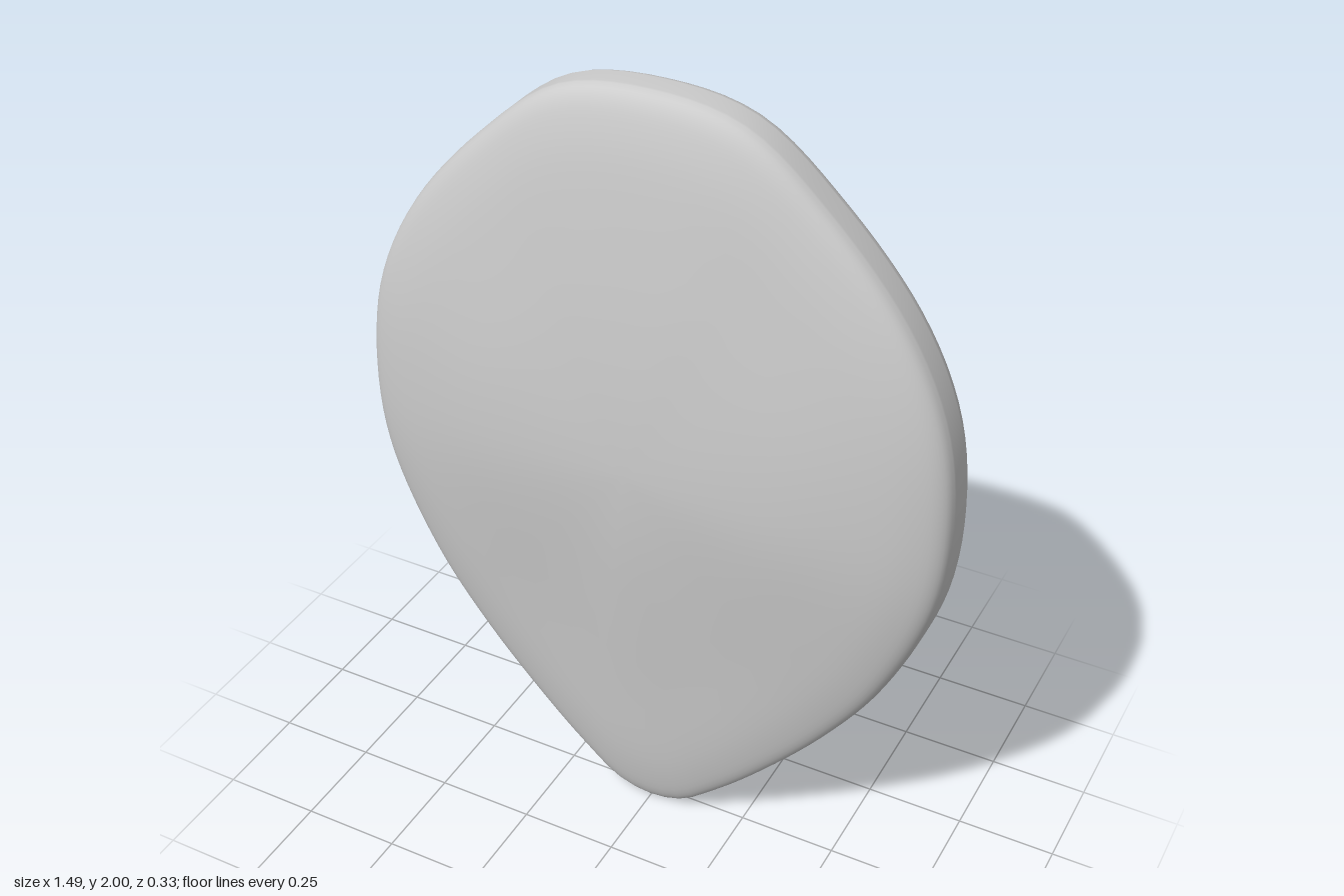
import * as THREE from 'three';

const CENTRE_Y = 1.1;

// Right half of the outline, top to bottom; mirrored into a closed curve
const HALF = [[0.22, 1.965], [0.42, 1.81], [0.61, 1.59], [0.71, 1.38], [0.745, 1.15], [0.725, 0.9],
  [0.61, 0.61], [0.47, 0.4], [0.29, 0.195], [0.18, 0.09], [0.09, 0.02]];

// Cross-section from the middle of the face to the rim: [share of radius, half thickness]
const SECTION = [[0, 0.165], [0.27, 0.162], [0.54, 0.149], [0.8, 0.117], [0.93, 0.087], [0.985, 0.06], [1, 0.03]];

function outlinePoints(count) {
  const right = HALF.map(([x, y]) => new THREE.Vector3(x, y, 0));
  const left = HALF.map(([x, y]) => new THREE.Vector3(-x, y, 0)).reverse();
  const loop = [new THREE.Vector3(0, 2, 0), ...right, new THREE.Vector3(0, 0, 0), ...left];
  const curve = new THREE.CatmullRomCurve3(loop, true, 'centripetal');
  return curve.getSpacedPoints(count).slice(0, count).reverse(); // counter-clockwise from the front
}

function pebbleGeometry() {
  const count = 120;
  const outline = outlinePoints(count);
  const section = new THREE.SplineCurve(SECTION.map(([t, z]) => new THREE.Vector2(t, z))).getPoints(24).slice(1);
  // rings run over the front face, round the rim and back over the rear face
  const rings = [...section, ...section.map((p) => new THREE.Vector2(p.x, -p.y)).reverse()];

  const positions = [0, CENTRE_Y, SECTION[0][1]];
  for (const ring of rings) {
    const t = Math.min(ring.x, 1);
    for (const p of outline) {
      const dy = p.y - CENTRE_Y;
      // the body thins towards the top and more towards the tip
      const upright = dy * dy / (dy * dy + p.x * p.x);
      const thin = 1 - (dy > 0 ? 0.12 : 0.25) * upright * THREE.MathUtils.smoothstep(t, 0, 0.7);
      positions.push(p.x * t, CENTRE_Y + dy * t, ring.y * thin);
    }
  }
  const last = positions.length / 3;
  positions.push(0, CENTRE_Y, -SECTION[0][1]);

  const index = [];
  const at = (r, i) => 1 + r * count + (i % count);
  for (let i = 0; i < count; i++) {
    index.push(0, at(0, i), at(0, i + 1));
    for (let r = 0; r < rings.length - 1; r++) {
      const a = at(r, i), b = at(r + 1, i), c = at(r + 1, i + 1), d = at(r, i + 1);
      index.push(a, b, c, a, c, d);
    }
    index.push(last, at(rings.length - 1, i + 1), at(rings.length - 1, i));
  }
  const geometry = new THREE.BufferGeometry();
  geometry.setAttribute('position', new THREE.Float32BufferAttribute(positions, 3));
  geometry.setIndex(index);
  geometry.computeVertexNormals();
  return geometry;
}

export function createModel() {
  const group = new THREE.Group();
  const body = new THREE.Mesh(pebbleGeometry(), new THREE.MeshStandardMaterial({ color: 0xcccccc }));
  body.name = 'teardropBody';
  group.add(body);
  return group;
}
